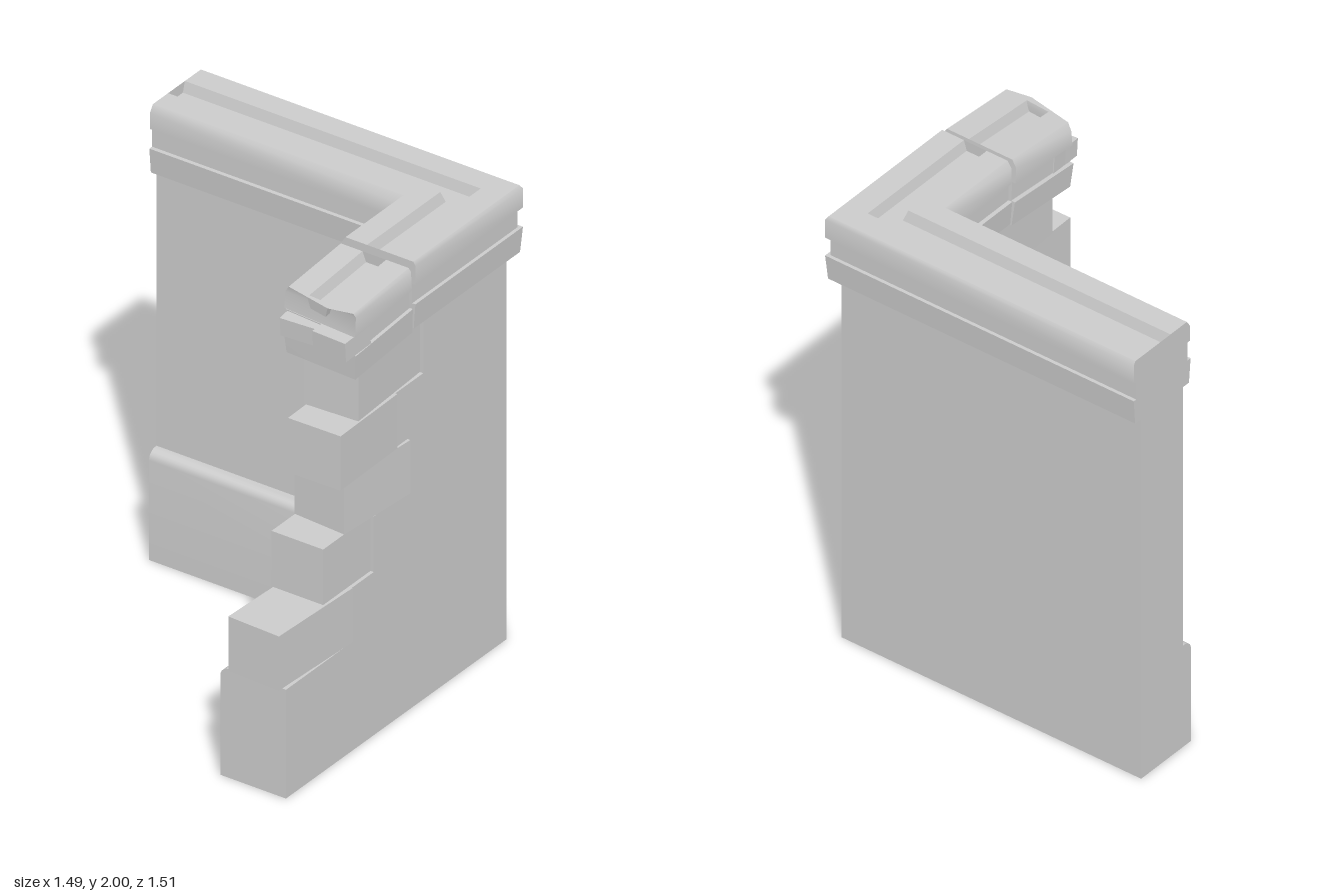
import * as THREE from 'three';
import { toCreasedNormals } from 'three/addons/utils/BufferGeometryUtils.js';

const OUT_X = 0.695, OUT_Z = -0.71, LEFT = -0.75, THICK = 0.255;
const stone = new THREE.MeshStandardMaterial({ color: 0xcccccc, side: THREE.DoubleSide });

// Skins rings of points; the ends are capped by pairing point i with its mirror partner
function loft(rings, closed) {
  const pos = [];
  const tri = (a, b, c) => {
    const area = b.clone().sub(a).cross(c.clone().sub(a)).length();
    if (area > 1e-7) for (const p of [a, b, c]) pos.push(p.x, p.y, p.z);
  };
  const quad = (a, b, c, d) => { tri(a, b, c); tri(a, c, d); };
  const n = rings[0].length;
  for (let r = 0; r < rings.length - 1; r++) {
    const A = rings[r], B = rings[r + 1];
    for (let i = 0; i < (closed ? n : n - 1); i++) {
      const j = (i + 1) % n;
      quad(A[i], A[j], B[j], B[i]);
    }
  }
  const S = rings[0], E = rings[rings.length - 1];
  for (let i = 0; i < n / 2 - 1; i++) {
    const k = n - 1 - i;
    quad(S[i], S[k], S[k - 1], S[i + 1]);
    quad(E[i], E[i + 1], E[k - 1], E[k]);
  }
  const g = new THREE.BufferGeometry();
  g.setAttribute('position', new THREE.Float32BufferAttribute(pos, 3));
  return toCreasedNormals(g, 0.7);
}

// Sweeps a profile of [inset from outer face, height, end z] around the corner
function cornerSweep(profile, closed) {
  return loft([
    profile.map(([d, y]) => new THREE.Vector3(LEFT, y, OUT_Z + d)),
    profile.map(([d, y]) => new THREE.Vector3(OUT_X - d, y, OUT_Z + d)),
    profile.map(([d, y, z]) => new THREE.Vector3(OUT_X - d, y, z)),
  ], closed);
}

export function createModel() {
  const model = new THREE.Group();
  const add = (name, geometry, parent = model) => {
    const m = new THREE.Mesh(geometry, stone);
    m.name = name;
    parent.add(m);
    return m;
  };

  // Wall, with a stepped broken end and an open underside
  const rows = [
    [0, 0.48, 0.735], [0.48, 0.72, 0.31], [0.72, 0.965, 0.16],
    [0.965, 1.2, -0.05], [1.2, 1.44, 0.02], [1.44, 1.71, -0.165],
  ];
  const side = rows.flatMap(([y0, y1, z]) => [[0, y0, z], [0, y1, z]]);
  const inner = side.map(([, y, z]) => [THICK, y, z]).reverse();
  add('wall', cornerSweep([...side, ...inner], false));

  // Plinth with a rounded top along the inner faces
  const plinth = [[THICK, 0], [THICK, 0.48]];
  for (let i = 0; i <= 5; i++) {
    const a = (i / 5) * Math.PI / 2;
    plinth.push([0.265 + 0.04 * Math.sin(a), 0.44 + 0.04 * Math.cos(a)]);
  }
  plinth.push([0.305, 0]);
  // even point count keeps the caps paired
  if (plinth.length % 2) plinth.push([0.305, 0]);
  add('plinth', cornerSweep(plinth.map(([d, y]) => [d, y, 0.735]), false));

  // Coping moulding with a channel along its top
  const coping = [
    [-0.037, 1.705], [-0.045, 1.815], [-0.03, 1.815], [-0.03, 1.9], [-0.045, 1.9],
    [-0.045, 1.985], [-0.035, 2], [0.07, 2], [0.083, 1.955],
    [0.165, 1.955], [0.18, 2], [0.28, 2], [0.3, 1.97],
    [0.3, 1.9], [0.285, 1.9], [0.285, 1.815], [0.303, 1.815], [0.293, 1.705],
  ];
  add('coping', cornerSweep(coping.map(([d, y]) => [d, y, -0.05]), true));

  // Loose coping stone, tipped forward, with a jagged front
  const loose = new THREE.Group();
  loose.name = 'looseCopingStone';
  loose.position.set(0, 1.987, -0.02);
  loose.rotation.x = 0.072;
  model.add(loose);
  const jag = (d, y) => {
    if (y < 1.9) return d > 0.1 ? 0.36 : 0.375;
    const edge = 0.385 - 0.2 * Math.abs(d - 0.07);
    return y > 1.95 ? edge : edge + 0.012;
  };
  add('looseCoping', loft([
    coping.map(([d, y]) => new THREE.Vector3(OUT_X - d, y - 2, 0)),
    coping.map(([d, y]) => new THREE.Vector3(OUT_X - d, y - 2, jag(d, y))),
  ], true), loose);

  // Blocks as [x0, x1, y0, y1, z0, z1, turn]
  const block = (name, [x0, x1, y0, y1, z0, z1, turn], parent) => {
    const m = add(name, new THREE.BoxGeometry(x1 - x0, y1 - y0, z1 - z0), parent);
    m.position.set((x0 + x1) / 2, (y0 + y1) / 2, (z0 + z1) / 2);
    m.rotation.y = turn;
  };
  [
    [0.41, 0.572, -0.185, -0.105, 0.25, 0.405, 0.06],
    [0.578, 0.735, -0.185, -0.1, 0.27, 0.425, -0.04],
  ].forEach((b) => block('brokenChunk', b, loose));

  // Quoin blocks stacked along the broken end
  [
    [0.445, 0.688, 0.481, 0.72, 0.298, 0.752, -0.045],
    [0.44, 0.68, 0.72, 0.965, 0.13, 0.47, 0],
    [0.45, 0.695, 0.965, 1.2, -0.07, 0.325, -0.07],
    [0.465, 0.707, 1.2, 1.44, 0.02, 0.4, 0.015],
    [0.448, 0.69, 1.44, 1.688, -0.165, 0.275, 0.05],
  ].forEach((b) => block('quoinBlock', b));

  return model;
}
